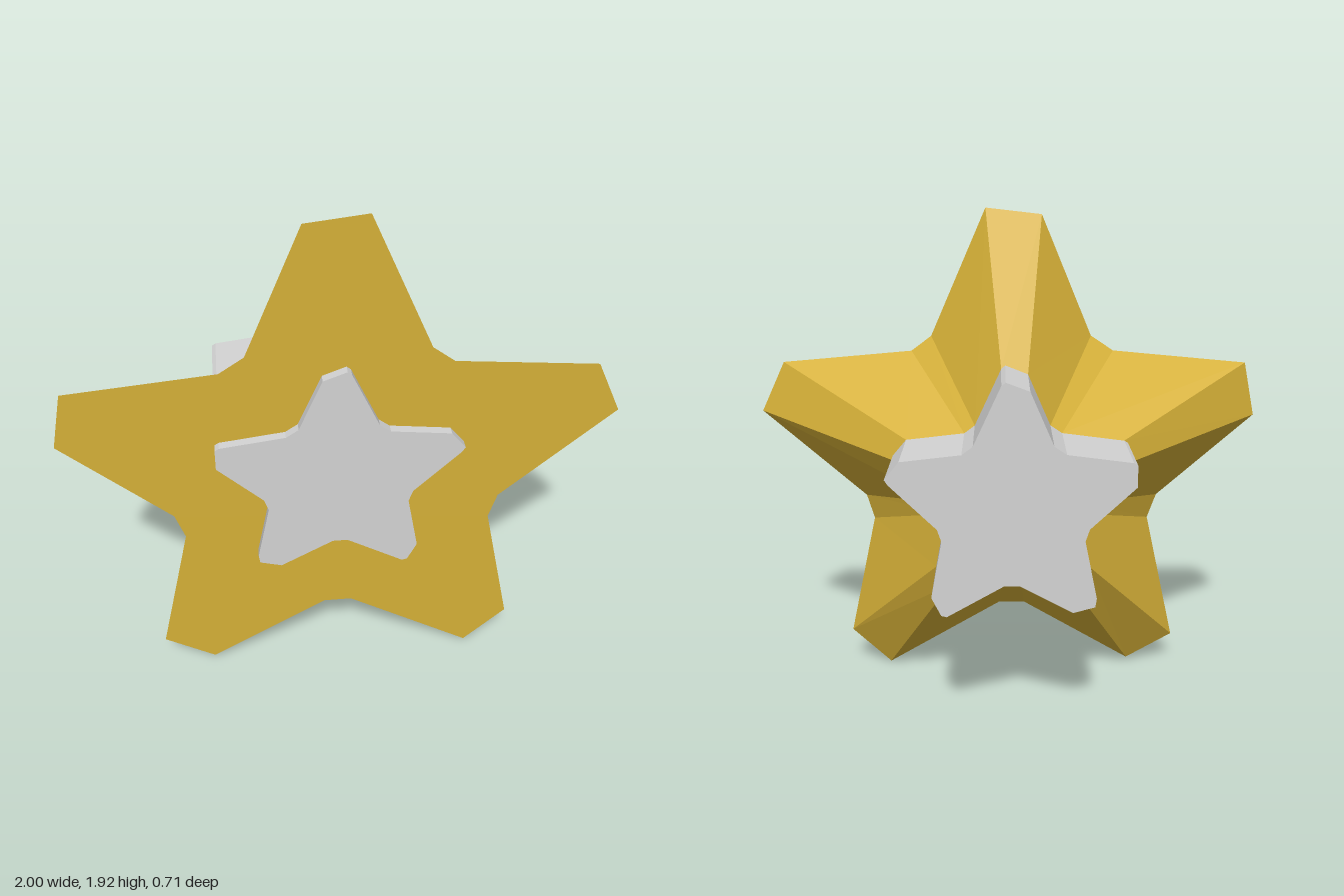
import * as THREE from 'three';

const toPoints = (pairs) => pairs.map(([x, y]) => new THREE.Vector2(x, y));

// Blunt star outline of the flared collar, clockwise from the top tip
const rim = toPoints([
  [-0.13, 1.9], [0.09, 1.925], [0.31, 1.425], [0.39, 1.365],
  [0.905, 1.32], [1.0, 1.12], [0.59, 0.76], [0.56, 0.66],
  [0.67, 0.155], [0.51, 0.005], [0.04, 0.28], [-0.065, 0.28],
  [-0.51, 0.02], [-0.7, 0.13], [-0.58, 0.66], [-0.615, 0.76],
  [-1.0, 1.1], [-0.955, 1.315], [-0.42, 1.365], [-0.33, 1.425],
]);

// Matching narrow outline where the collar meets the core
const neck = toPoints([
  [-0.07, 1.335], [0.03, 1.355], [0.13, 1.14], [0.17, 1.11],
  [0.39, 1.085], [0.43, 1.0], [0.26, 0.835], [0.245, 0.79],
  [0.285, 0.575], [0.23, 0.5], [0.02, 0.62], [-0.035, 0.62],
  [-0.23, 0.515], [-0.315, 0.57], [-0.27, 0.79], [-0.285, 0.835],
  [-0.45, 0.99], [-0.435, 1.08], [-0.2, 1.11], [-0.155, 1.14],
]);

// Core outline: like the neck, with an extra corner on each tip
const coreOutline = toPoints([
  [-0.07, 1.335], [0.015, 1.367], [0.03, 1.355], [0.13, 1.14], [0.17, 1.11],
  [0.39, 1.085], [0.443, 1.02], [0.43, 1.0], [0.26, 0.835], [0.245, 0.79],
  [0.285, 0.575], [0.25, 0.505], [0.23, 0.5], [0.02, 0.62], [-0.035, 0.62],
  [-0.23, 0.515], [-0.31, 0.537], [-0.315, 0.57], [-0.27, 0.79], [-0.285, 0.835],
  [-0.45, 0.99], [-0.45, 1.07], [-0.435, 1.08], [-0.2, 1.11], [-0.155, 1.14],
]);

const FRONT = 0.32, NECK = -0.035, CORE_HALF = 0.356;

// Faceted sides joining two outlines with equal point counts
function loftSides(front, back, zFront, zBack) {
  const pos = [];
  front.forEach((a, i) => {
    const j = (i + 1) % front.length;
    const b = front[j], c = back[j], d = back[i];
    pos.push(a.x, a.y, zFront, b.x, b.y, zFront, c.x, c.y, zBack);
    pos.push(a.x, a.y, zFront, c.x, c.y, zBack, d.x, d.y, zBack);
  });
  const geo = new THREE.BufferGeometry();
  geo.setAttribute('position', new THREE.Float32BufferAttribute(pos, 3));
  geo.computeVertexNormals();
  return geo;
}

export function createModel() {
  const gold = new THREE.MeshStandardMaterial({ color: 0xd4af37 });
  gold.name = 'gold';
  const silver = new THREE.MeshStandardMaterial({ color: 0xd3d3d3 });
  silver.name = 'silver';

  const model = new THREE.Group();
  model.name = 'starOrnament';
  const add = (name, geometry, material, parent = model) => {
    const mesh = new THREE.Mesh(geometry, material);
    mesh.name = name;
    parent.add(mesh);
    return mesh;
  };

  // Flared collar: flat front face plus sides tapering back to the core
  const collar = new THREE.Group();
  collar.name = 'flaredCollar';
  model.add(collar);
  add('collarFace', new THREE.ShapeGeometry(new THREE.Shape(rim)), gold, collar).position.z = FRONT;
  add('collarSides', loftSides(rim, neck, FRONT, NECK), gold, collar);

  // Straight star-shaped core running through the collar
  const core = new THREE.ExtrudeGeometry(new THREE.Shape(coreOutline), {
    depth: CORE_HALF * 2, bevelEnabled: false,
  });
  add('starCore', core, silver).position.z = -CORE_HALF;

  return model;
}
